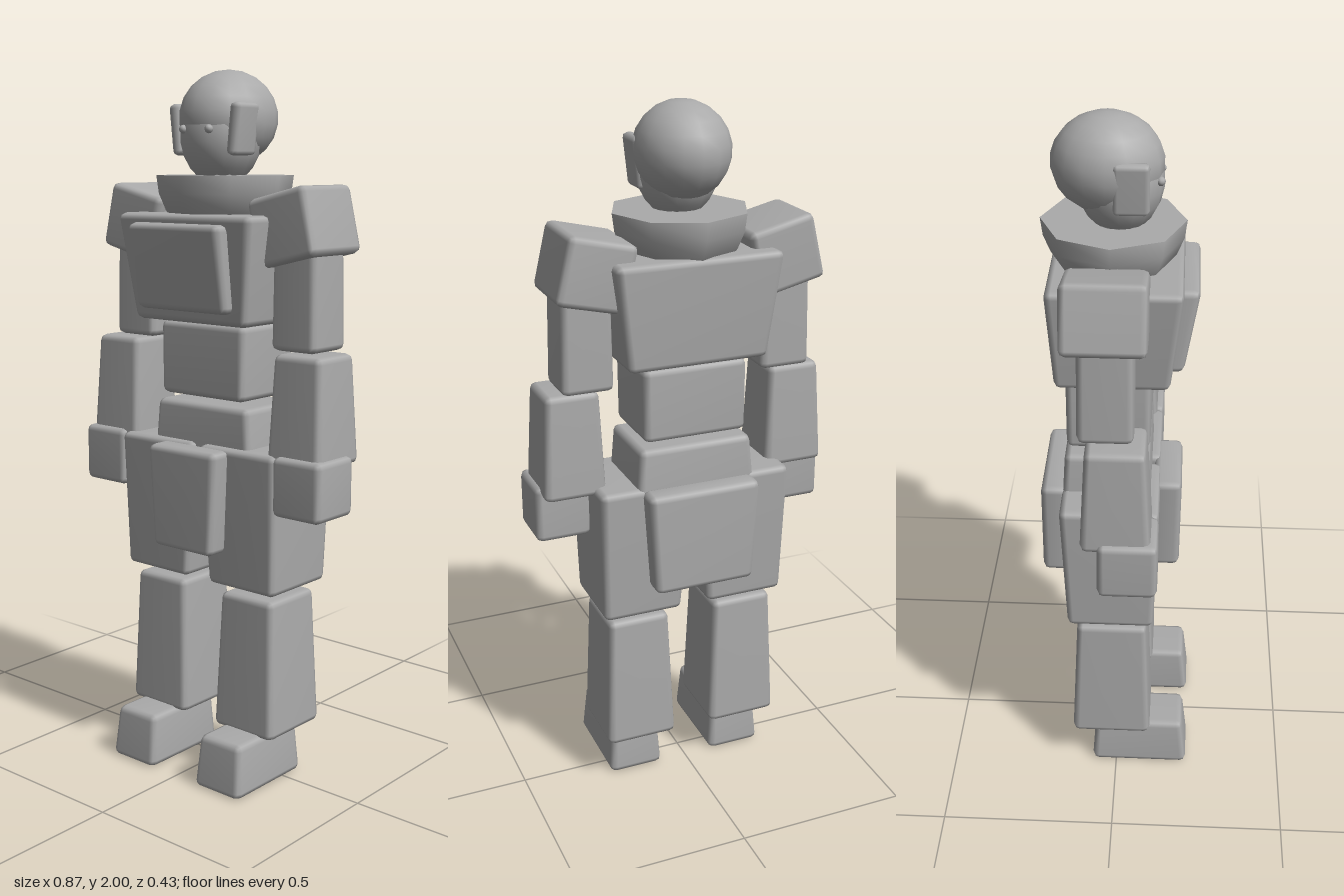
import * as THREE from 'three';
import { RoundedBoxGeometry } from 'three/addons/geometries/RoundedBoxGeometry.js';
import { mergeVertices } from 'three/addons/utils/BufferGeometryUtils.js';

const grey = new THREE.MeshStandardMaterial({ color: 0xaaaaaa });
grey.name = 'plain grey';

function mesh(name, geometry, x = 0, y = 0, z = 0) {
  const m = new THREE.Mesh(geometry, grey);
  m.name = name;
  m.position.set(x, y, z);
  return m;
}

// Weld a bevelled box so its shading runs softly over the edges
function softBox(w, h, d, r) {
  const g = new RoundedBoxGeometry(w, h, d, 1, r);
  g.deleteAttribute('normal');
  g.deleteAttribute('uv');
  g.clearGroups();
  const welded = mergeVertices(g, 1e-4);
  welded.computeVertexNormals();
  return welded;
}

// Tapered bevelled block between a bottom and a top rectangle [x0, x1, z0, z1]
function block(name, y0, y1, bottom, top, r = 0.018) {
  const w = (bottom[1] - bottom[0] + top[1] - top[0]) / 2;
  const d = (bottom[3] - bottom[2] + top[3] - top[2]) / 2;
  const g = softBox(w, y1 - y0, d, r);
  const p = g.attributes.position;
  for (let i = 0; i < p.count; i++) {
    const t = p.getY(i) / (y1 - y0) + 0.5;
    const [xa, xb, za, zb] = bottom.map((b, k) => THREE.MathUtils.lerp(b, top[k], t));
    p.setXYZ(i,
      (xa + xb) / 2 + (p.getX(i) / w) * (xb - xa),
      y0 + t * (y1 - y0),
      (za + zb) / 2 + (p.getZ(i) / d) * (zb - za));
  }
  g.computeVertexNormals();
  return mesh(name, g);
}

function ellipsoid(name, rx, ry, rz, x, y, z, seg = 16) {
  return mesh(name, new THREE.SphereGeometry(1, seg, Math.round(seg * 0.7)).scale(rx, ry, rz), x, y, z);
}

function buildHead() {
  const head = new THREE.Group();
  head.name = 'head';
  head.add(
    ellipsoid('skull', 0.13, 0.13, 0.147, 0, 1.87, -0.032),
    ellipsoid('face', 0.114, 0.14, 0.115, 0, 1.825, 0),
    mesh('neck', new THREE.CylinderGeometry(0.07, 0.07, 0.12, 12), 0, 1.68, 0)
  );
  for (const s of [-1, 1]) {
    head.add(ellipsoid('eye', 0.012, 0.012, 0.012, s * 0.046, 1.838, 0.105, 8));
    const ear = mesh('earPad', softBox(0.034, 0.14, 0.094, 0.013), s * 0.104, 1.838, 0.032);
    ear.rotation.z = -s * 0.11;
    head.add(ear);
  }
  return head;
}

function buildTorso() {
  const torso = new THREE.Group();
  torso.name = 'torso';

  // Eight-sided bowl collar with a flat top
  const collar = new THREE.Group();
  collar.name = 'collar';
  collar.position.set(0, 1.715, -0.017);
  const bowl = new THREE.SphereGeometry(0.192, 8, 6, 0, Math.PI * 2, Math.PI / 2, Math.PI / 2);
  const lid = new THREE.CircleGeometry(0.192, 8).rotateX(-Math.PI / 2);
  collar.add(mesh('collarBowl', bowl), mesh('collarTop', lid));

  torso.add(
    collar,
    block('chest', 1.315, 1.612, [-0.2, 0.2, -0.165, 0.14], [-0.24, 0.24, -0.183, 0.173]),
    block('chestPlate', 1.35, 1.588, [-0.163, 0.163, 0.11, 0.175], [-0.163, 0.163, 0.13, 0.215]),
    block('abdomen', 1.1, 1.31, [-0.15, 0.15, -0.14, 0.09], [-0.152, 0.152, -0.14, 0.09]),
    block('pelvis', 0.9, 1.083, [-0.18, 0.18, -0.155, 0.095], [-0.165, 0.165, -0.145, 0.09]),
    block('frontSkirt', 0.67, 0.967, [-0.107, 0.107, 0.1, 0.177], [-0.124, 0.124, 0.1, 0.18]),
    block('rearSkirt', 0.67, 0.97, [-0.147, 0.147, -0.217, -0.14], [-0.166, 0.166, -0.215, -0.14])
  );
  return torso;
}

// One arm and one leg; s is the side along x
function buildLimbs(s) {
  const side = ([a, b, c, d]) => (s > 0 ? [a, b, c, d] : [-b, -a, c, d]);
  const part = (name, y0, y1, bottom, top) => block(name, y0, y1, side(bottom), side(top));

  const arm = new THREE.Group();
  arm.name = s > 0 ? 'leftArm' : 'rightArm';
  const pad = mesh('shoulderPad', softBox(0.194, 0.187, 0.22, 0.018), s * 0.272, 1.582, -0.025);
  pad.rotation.z = s * 0.235;
  arm.add(
    pad,
    part('upperArm', 1.25, 1.56, [0.218, 0.366, -0.095, 0.053], [0.222, 0.36, -0.092, 0.05]),
    part('forearm', 0.945, 1.247, [0.243, 0.423, -0.088, 0.102], [0.255, 0.408, -0.073, 0.085]),
    part('hand', 0.808, 0.975, [0.278, 0.437, -0.042, 0.12], [0.278, 0.437, -0.042, 0.12])
  );

  const leg = new THREE.Group();
  leg.name = s > 0 ? 'leftLeg' : 'rightLeg';
  leg.add(
    part('thigh', 0.57, 0.972, [0.042, 0.275, -0.138, 0.108], [0.01, 0.285, -0.155, 0.12]),
    part('shin', 0.143, 0.547, [0.056, 0.269, -0.13, 0.103], [0.072, 0.254, -0.113, 0.088]),
    part('foot', 0, 0.153, [0.08, 0.246, -0.073, 0.217], [0.09, 0.234, -0.063, 0.2])
  );
  return [arm, leg];
}

export function createModel() {
  const model = new THREE.Group();
  model.name = 'blockFigure';
  model.add(buildHead(), buildTorso(), ...buildLimbs(-1), ...buildLimbs(1));
  return model;
}
